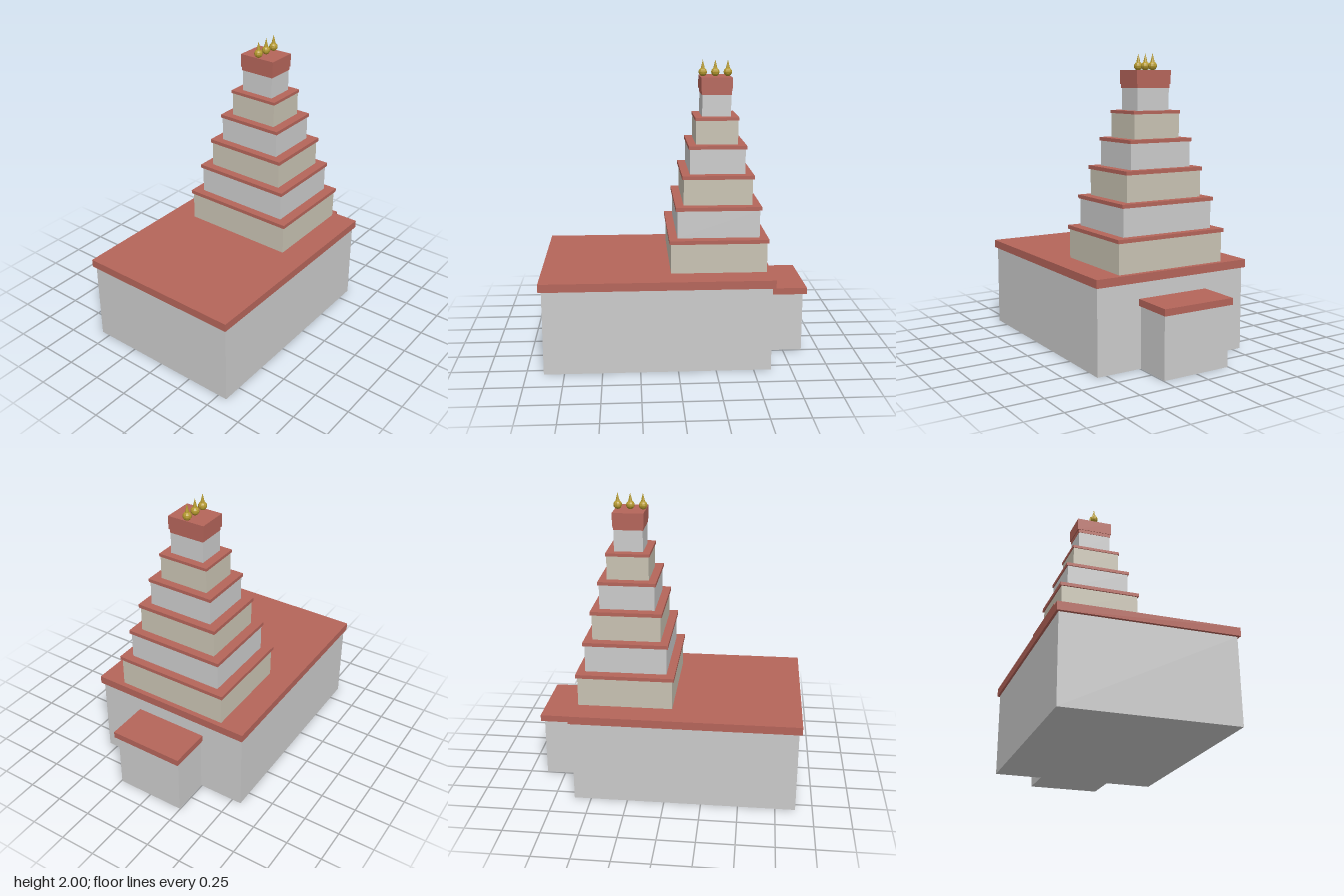
import * as THREE from 'three';

const mat = (color, flatShading = false) => new THREE.MeshStandardMaterial({ color, flatShading });

export function createModel() {
  const model = new THREE.Group();
  model.name = 'templeTower';
  const grey = mat(0xcccccc), beige = mat(0xc9c3b3), red = mat(0xb5655a), gold = mat(0xb59a2e, true);
  const towerZ = -0.28;

  // box given by half width, bottom, top and z range
  function block(name, material, hx, y0, y1, z0, z1) {
    const mesh = new THREE.Mesh(new THREE.BoxGeometry(2 * hx, y1 - y0, z1 - z0), material);
    mesh.position.set(0, (y0 + y1) / 2, (z0 + z1) / 2);
    mesh.name = name;
    model.add(mesh);
  }

  // main hall and rear annex
  block('hallWalls', grey, 0.565, 0, 0.57, -0.615, 0.885);
  block('hallRoof', red, 0.58, 0.57, 0.625, -0.635, 0.905);
  block('annexWalls', grey, 0.245, 0, 0.415, -0.88, -0.615);
  block('annexRoof', red, 0.26, 0.415, 0.46, -0.905, -0.615);

  // stepped tower: half width, half depth, bottom, ledge bottom, ledge top, overhang
  const tiers = [
    [0.398, 0.32, 0.625, 0.825, 0.85, 0.011],
    [0.34, 0.275, 0.85, 1.035, 1.06, 0.011],
    [0.285, 0.23, 1.06, 1.235, 1.26, 0.01],
    [0.229, 0.186, 1.26, 1.427, 1.45, 0.008],
    [0.173, 0.141, 1.45, 1.61, 1.63, 0.006],
    [0.121, 0.097, 1.63, 1.775, 1.8, 0.003],
  ];
  tiers.forEach(([hx, hz, y0, y1, y2, o], i) => {
    block(`tierWalls${i + 1}`, i % 2 ? grey : beige, hx, y0, y1, towerZ - hz, towerZ + hz);
    block(`tierLedge${i + 1}`, red, hx + o, y1, y2, towerZ - hz - o, towerZ + hz + o);
  });
  block('towerCap', red, 0.131, 1.8, 1.89, towerZ - 0.104, towerZ + 0.104);

  // row of three finials: round pot with a spike
  const pot = new THREE.SphereGeometry(0.029, 10, 8);
  const spike = new THREE.ConeGeometry(0.017, 0.07, 8);
  for (const dz of [-0.085, 0, 0.085]) {
    const finial = new THREE.Group();
    finial.name = 'finial';
    const bulb = new THREE.Mesh(pot, gold);
    bulb.name = 'finialPot';
    bulb.position.y = 1.917;
    const tip = new THREE.Mesh(spike, gold);
    tip.name = 'finialSpike';
    tip.position.y = 1.965;
    finial.add(bulb, tip);
    finial.position.z = towerZ + dz;
    model.add(finial);
  }
  return model;
}
